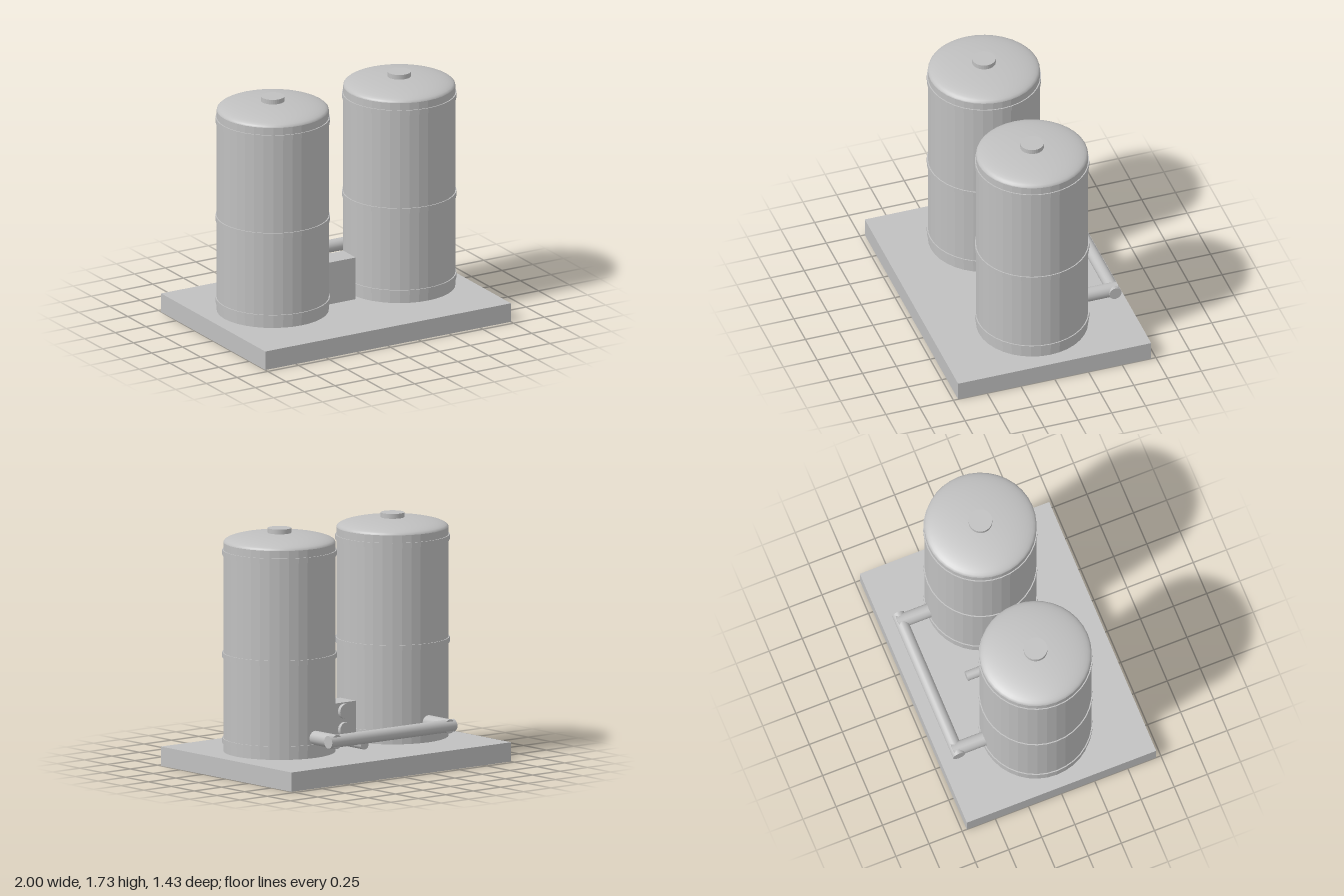
import * as THREE from 'three';

const SIDES = 36;
const grey = new THREE.MeshStandardMaterial({ color: 0xc0c0c0 });
grey.name = 'grey';

function add(parent, name, geometry, x = 0, y = 0, z = 0) {
  const mesh = new THREE.Mesh(geometry, grey);
  mesh.name = name;
  mesh.position.set(x, y, z);
  parent.add(mesh);
  return mesh;
}

// Cylinder with faceted sides
function faceted(radius, height, sides = SIDES) {
  const g = new THREE.CylinderGeometry(radius, radius, height, sides).toNonIndexed();
  g.computeVertexNormals();
  return g;
}

// Horizontal round bar between two z values
function barZ(parent, name, radius, x, y, z0, z1, sides = 20) {
  const g = new THREE.CylinderGeometry(radius, radius, Math.abs(z1 - z0), sides).rotateX(Math.PI / 2);
  return add(parent, name, g, x, y, (z0 + z1) / 2);
}

function makeTank(name, x) {
  const tank = new THREE.Group();
  tank.name = name;
  tank.position.x = x;
  const R = 0.393, bottom = 0.147, shoulder = 1.63, rise = 0.068;

  // Shell and reinforcing bands
  add(tank, 'shell', faceted(R, shoulder - bottom), 0, (shoulder + bottom) / 2);
  for (const y of [0.225, 0.832, 1.558]) add(tank, 'band', faceted(0.401, 0.037), 0, y);

  // Domed lid, a shallow half ellipse
  const profile = [];
  for (let i = 0; i <= 12; i++) {
    const a = (i / 12) * Math.PI / 2;
    profile.push(new THREE.Vector2(i === 12 ? 0 : R * Math.cos(a), shoulder + rise * Math.sin(a)));
  }
  add(tank, 'domedLid', new THREE.LatheGeometry(profile, SIDES));

  // Filler cap
  add(tank, 'fillerCap', faceted(0.083, 0.06), 0, 1.7);

  // Outlet running back to the header pipe
  barZ(tank, 'outletPipe', 0.05, 0, 0.29, -0.36, -0.628);
  return tank;
}

export function createModel() {
  const model = new THREE.Group();
  model.name = 'twinTankUnit';

  // Base slab
  add(model, 'baseSlab', new THREE.BoxGeometry(2, 0.137, 1.43), 0, 0.0685);

  // Two tanks
  model.add(makeTank('leftTank', 0.515), makeTank('rightTank', -0.515));

  // Header pipe joining the outlets
  const header = new THREE.CylinderGeometry(0.045, 0.045, 1.14, 20).rotateZ(Math.PI / 2);
  add(model, 'headerPipe', header, 0, 0.29, -0.599);

  // Control box between the tanks, with rear dials and drain pipe
  const control = new THREE.Group();
  control.name = 'controlUnit';
  add(control, 'controlBox', new THREE.BoxGeometry(0.22, 0.31, 0.17), 0, 0.291);
  for (const y of [0.385, 0.255]) barZ(control, 'dial', 0.053, 0, y, -0.08, -0.11, 24);
  barZ(control, 'drainPipe', 0.035, 0, 0.176, -0.08, -0.315);
  model.add(control);

  return model;
}
